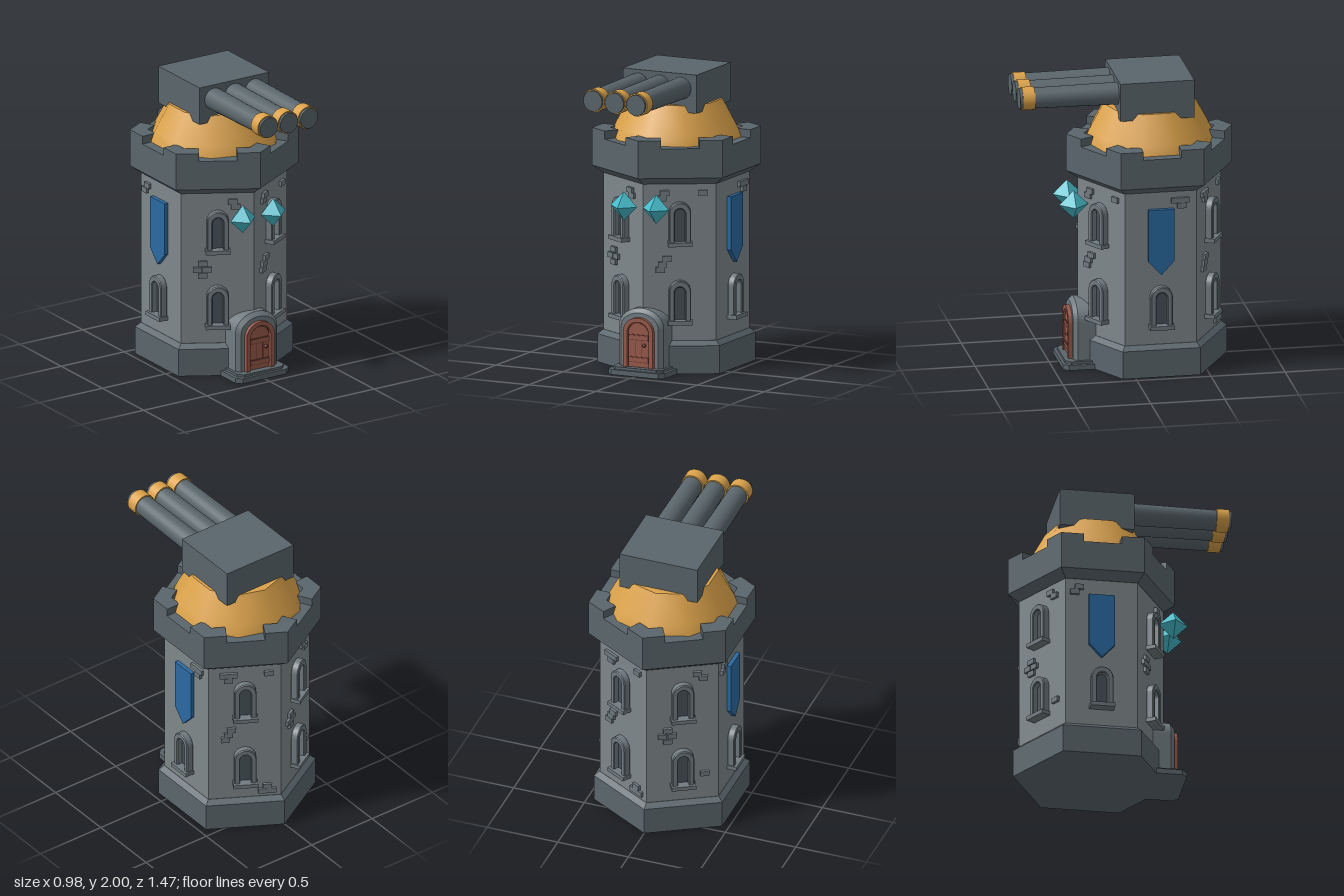
import * as THREE from 'three';

const mat = (name, color) => {
  const m = new THREE.MeshStandardMaterial({ color });
  m.name = name;
  return m;
};

export function createModel() {
  const wall = mat('wall stone', 0x7f888b);
  const trim = mat('dark stone', 0x5a666c);
  const frameStone = mat('frame stone', 0x707b80);
  const glass = mat('window dark', 0x465158);
  const gold = mat('gold', 0xdba24a);
  const blue = mat('banner blue', 0x2b6aa3);
  const teal = mat('crystal teal', 0x46bccb);
  const wood = mat('door wood', 0x98594a);
  const darkWood = mat('dark wood', 0x6b3b31);

  const model = new THREE.Group();
  model.name = 'cannonTower';
  const tower = new THREE.Group();
  tower.name = 'tower';
  tower.position.z = -0.175;
  model.add(tower);

  const add = (parent, name, geo, material, x = 0, y = 0, z = 0) => {
    const m = new THREE.Mesh(geo, material);
    m.name = name;
    m.position.set(x, y, z);
    parent.add(m);
    return m;
  };
  const box = (w, h, d) => new THREE.BoxGeometry(w, h, d);
  // Faceted six-sided solid from radius/height pairs, corner facing front
  const hex = (...pts) => {
    const g = new THREE.LatheGeometry(pts.map(p => new THREE.Vector2(...p)), 6).toNonIndexed();
    g.computeVertexNormals();
    return g;
  };
  // Arch outline: straight sides up to the spring line, then a half ellipse
  const arch = (hw, y0, spring, top, Kind = THREE.Shape) => {
    const s = new Kind();
    s.moveTo(-hw, y0);
    s.lineTo(hw, y0);
    s.lineTo(hw, spring);
    s.absellipse(0, spring, hw, top - spring, 0, Math.PI, false, 0);
    s.closePath();
    return s;
  };
  const extrude = (shape, depth, bevel = 0) => new THREE.ExtrudeGeometry(shape, {
    depth, curveSegments: 10, bevelEnabled: bevel > 0, bevelSize: bevel,
    bevelThickness: bevel, bevelSegments: 1,
  });
  const polygon = pts => new THREE.Shape(pts.map(p => new THREE.Vector2(...p)));

  // Tower body
  add(tower, 'base', hex([0, 0], [0.525, 0], [0.525, 0.19], [0.487, 0.22], [0, 0.22]), trim);
  add(tower, 'body', hex([0.485, 0.21], [0.485, 1.3]), wall);
  add(tower, 'parapet', hex([0, 1.28], [0.487, 1.28], [0.56, 1.33], [0.56, 1.53], [0, 1.53]), trim);

  // Corner battlements
  const merlon = extrude(polygon([
    [0, 0.56], [-0.1325, 0.4835], [-0.08, 0.3926], [0, 0.439], [0.08, 0.3926], [0.1325, 0.4835],
  ]), 0.065).rotateX(-Math.PI / 2);
  for (let i = 0; i < 6; i++) {
    add(tower, 'merlon', merlon, trim, 0, 1.52, 0).rotation.y = i * Math.PI / 3;
  }

  // Windows
  const frameShape = arch(0.068, 0, 0.2, 0.27);
  frameShape.holes.push(arch(0.042, 0, 0.195, 0.24, THREE.Path));
  const frameGeo = extrude(frameShape, 0.04, 0.006);
  const paneGeo = new THREE.ShapeGeometry(arch(0.046, 0, 0.195, 0.242), 10);
  const addWindow = (side, y) => {
    const w = new THREE.Group();
    w.name = 'window';
    w.position.set(0, y, 0.42);
    side.add(w);
    add(w, 'windowFrame', frameGeo, frameStone, 0, 0.02, 0.004);
    add(w, 'windowPane', paneGeo, glass, 0, 0.02, 0.01);
    add(w, 'windowSill', box(0.165, 0.028, 0.07), frameStone, 0, 0.014, 0.033);
  };

  // Hanging banner
  const bannerGeo = extrude(polygon([
    [-0.0875, 1.165], [-0.0875, 0.805], [0, 0.71], [0.0875, 0.805], [0.0875, 1.165],
  ]), 0.028);

  // Six walls: angle, banner, loose bricks as [across, height]
  const sides = [
    [30, false, [[0.155, 1.22], [-0.085, 0.775], [-0.115, 0.738], [-0.13, 0.7], [-0.1, 1.22], [-0.12, 1.185]]],
    [90, true, [[0.1, 1.22], [0.16, 1.22], [0.14, 1.182]]],
    [150, false, [[-0.14, 1.22], [-0.08, 1.22], [-0.11, 1.182], [0.16, 1.22],
      [-0.09, 0.775], [-0.11, 0.738], [-0.13, 0.7], [0.15, 0.305], [0.12, 0.268], [0.18, 0.268]]],
    [210, false, [[0.1, 1.22], [0.14, 1.185], [-0.1, 0.785], [-0.135, 0.742], [-0.07, 0.742], [-0.1, 0.7], [0.15, 0.42]]],
    [270, true, [[-0.15, 1.22], [-0.18, 1.182]]],
    [330, false, [[0.1, 1.22], [0.12, 1.185], [-0.1, 0.785], [-0.135, 0.742], [-0.07, 0.742], [-0.1, 0.7]]],
  ];
  const brickGeo = box(0.06, 0.036, 0.03);
  for (const [deg, hasBanner, bricks] of sides) {
    const side = new THREE.Group();
    side.name = 'wallSide';
    side.rotation.y = THREE.MathUtils.degToRad(deg);
    tower.add(side);
    addWindow(side, 0.335);
    if (hasBanner) add(side, 'banner', bannerGeo, blue, 0, 0, 0.422);
    else addWindow(side, 0.865);
    for (const [u, y] of bricks) add(side, 'brick', brickGeo, frameStone, u, y, 0.424);
  }

  // Doorway and steps
  const door = new THREE.Group();
  door.name = 'doorway';
  model.add(door);
  const step = (hw, z) => polygon([
    [-hw, -0.1], [-hw, -z + 0.035], [-hw + 0.035, -z], [hw - 0.035, -z], [hw, -z + 0.035], [hw, -0.1],
  ]);
  add(door, 'lowerStep', extrude(step(0.21, 0.44), 0.035).rotateX(-Math.PI / 2), trim);
  add(door, 'upperStep', extrude(step(0.185, 0.42), 0.02).rotateX(-Math.PI / 2), trim, 0, 0.032, 0);
  add(door, 'doorSurround', extrude(arch(0.137, 0.03, 0.32, 0.418), 0.17, 0.028), frameStone, 0, 0, 0.165);
  const doorFrame = arch(0.11, 0.05, 0.29, 0.388);
  doorFrame.holes.push(arch(0.08, 0.05, 0.285, 0.36, THREE.Path));
  add(door, 'doorFrame', extrude(doorFrame, 0.06), wood, 0, 0, 0.33);
  add(door, 'doorGap', extrude(arch(0.082, 0.05, 0.285, 0.362), 0.03), darkWood, 0, 0, 0.34);
  add(door, 'doorPanel', extrude(arch(0.073, 0.055, 0.28, 0.35), 0.03), wood, 0, 0, 0.348);
  for (const y of [0.105, 0.255]) {
    add(door, 'strapEdge', box(0.145, 0.038, 0.006), darkWood, 0, y, 0.379);
    add(door, 'strap', box(0.145, 0.028, 0.008), wood, 0, y, 0.381);
  }
  for (const x of [-0.025, 0.025]) {
    add(door, 'plankLine', box(0.003, 0.11, 0.002), darkWood, x, 0.18, 0.378);
  }
  add(door, 'doorKnob', new THREE.SphereGeometry(0.013, 12, 8), darkWood, 0.045, 0.205, 0.385);

  // Floating crystals
  for (const x of [-0.12, 0.12]) {
    add(model, 'crystal', new THREE.OctahedronGeometry(0.098), teal, x, 1.13, 0.357);
  }

  // Golden turret ring
  const dome = [[0.445, 1.5], [0.435, 1.54], [0.41, 1.6], [0.31, 1.785]].map(p => new THREE.Vector2(...p));
  add(tower, 'turretDome', new THREE.LatheGeometry(dome, 10), gold);
  add(tower, 'turretDomeTop', hexTop(10, 0.31), gold, 0, 1.785, 0);

  // Gun housing and barrels
  add(model, 'gunHousing', box(0.55, 0.26, 0.5), trim, 0, 1.87, -0.18);
  const rod = (front, back, len) => new THREE.CylinderGeometry(front, back, len, 24).rotateX(Math.PI / 2);
  for (const x of [-0.16, 0, 0.16]) {
    add(model, 'barrel', rod(0.069, 0.075, 0.62), trim, x, 1.902, 0.35);
    add(model, 'muzzleBand', rod(0.078, 0.078, 0.082), gold, x, 1.902, 0.676);
    add(model, 'muzzle', rod(0.07, 0.07, 0.06), trim, x, 1.902, 0.705);
  }
  return model;
}

// Flat polygon cap with a corner facing front
function hexTop(n, r) {
  return new THREE.CircleGeometry(r, n, -Math.PI / 2).rotateX(-Math.PI / 2);
}
